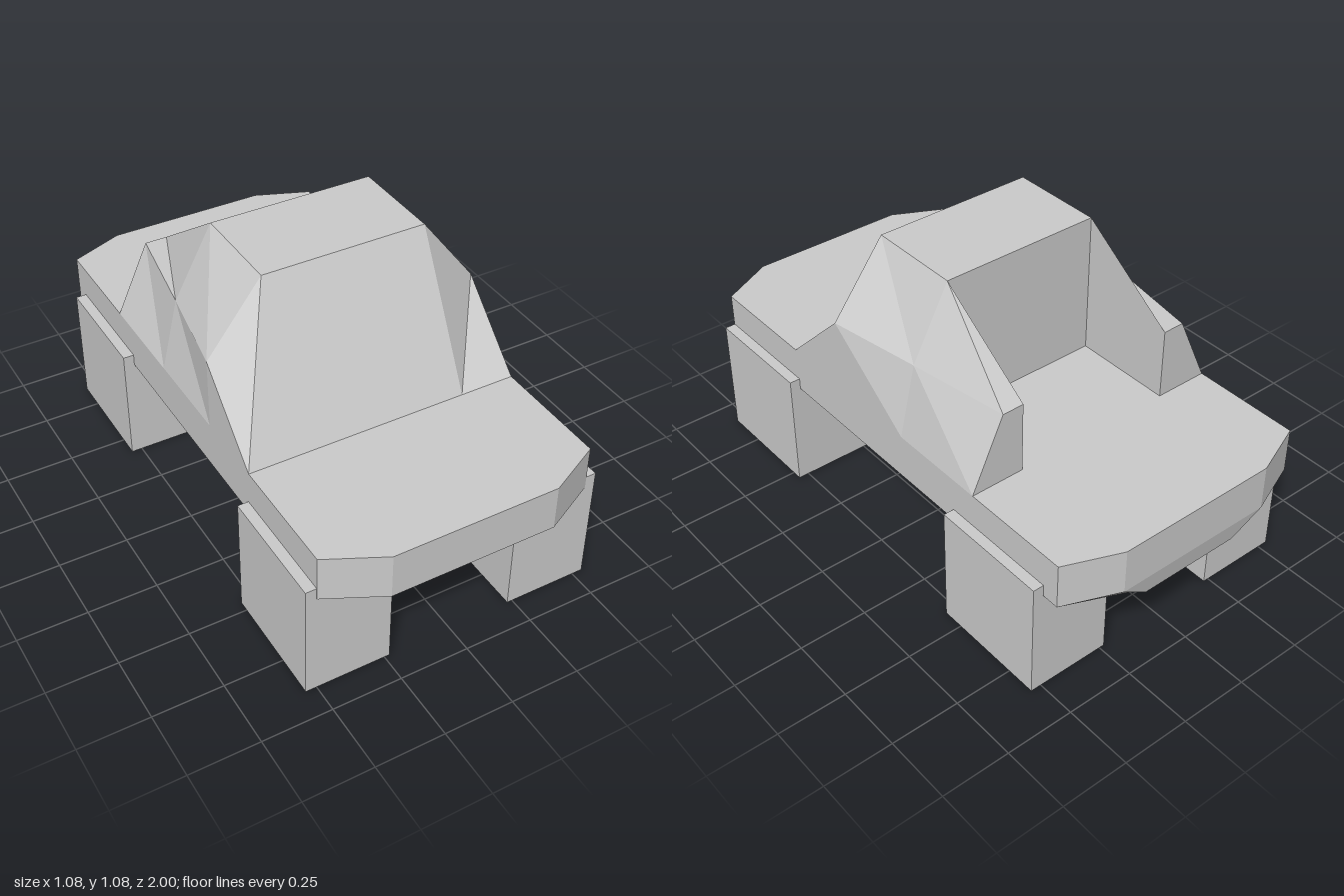
import * as THREE from 'three';

const material = new THREE.MeshStandardMaterial({ color: 0xcccccc, flatShading: true });

// Skin a row of matching rings and cap both ends.
// Rings run counter-clockwise seen from outside the first one.
function loft(rings) {
  const pos = [];
  const tri = (a, b, c) => pos.push(...a, ...b, ...c);
  const n = rings[0].length;
  for (let r = 0; r < rings.length - 1; r++) {
    const a = rings[r], b = rings[r + 1];
    for (let i = 0; i < n; i++) {
      const j = (i + 1) % n;
      tri(a[i], b[i], a[j]);
      tri(a[j], b[i], b[j]);
    }
  }
  const first = rings[0], last = rings[rings.length - 1];
  for (let i = 1; i < n - 1; i++) {
    tri(first[0], first[i], first[i + 1]);
    tri(last[0], last[i + 1], last[i]);
  }
  const geometry = new THREE.BufferGeometry();
  geometry.setAttribute('position', new THREE.Float32BufferAttribute(pos, 3));
  geometry.computeVertexNormals();
  return geometry;
}

// Complete a half outline (x > 0) with its mirror image.
const mirrored = (half) => [...half, ...half.slice().reverse().map(([x, y, z]) => [-x, y, z])];

export function createModel() {
  const model = new THREE.Group();
  const add = (name, geometry, x = 0, y = 0, z = 0) => {
    const mesh = new THREE.Mesh(geometry, material);
    mesh.name = name;
    mesh.position.set(x, y, z);
    model.add(mesh);
  };

  // Deck: a long slab with clipped corners
  const outline = (y) => mirrored([[0.3, y, 1], [0.5, y, 0.9], [0.5, y, -0.92], [0.3, y, -1]]);
  add('deck', loft([outline(0.56), outline(0.395)]));

  // Shallow tapered belly below the deck
  const bellyTop = mirrored([[0.3, 0.395, 0.9], [0.5, 0.395, 0.88], [0.5, 0.395, -0.92], [0.3, 0.395, -1]]);
  const bellyBottom = mirrored([[0.19, 0.313, 0.47], [0.19, 0.313, 0.46], [0.19, 0.313, -0.97], [0.19, 0.313, -0.985]]);
  add('belly', loft([bellyTop, bellyBottom]));

  // Chassis block between the wheels
  add('chassis', new THREE.BoxGeometry(0.375, 0.13, 0.985), 0, 0.265, -0.027);

  // Cabin: windscreen base, front of roof, rear of roof
  const cabinRing = (z, shoulderX, shoulderY, roofY) =>
    mirrored([[0.5, 0.56, z], [shoulderX, shoulderY, z], [0.3, roofY, z]]);
  add('cabin', loft([
    cabinRing(0.47, 0.5, 0.56, 0.56),
    cabinRing(0.2, 0.5, 0.82, 1.08),
    cabinRing(-0.15, 0.44, 0.82, 1.08),
  ]));

  // Sloping side walls of the open rear bed
  const wallRing = (z, shoulderX, topY) =>
    [[0.3, 0.56, z], [0.5, 0.56, z], [shoulderX, 0.82, z], [0.3, topY, z]];
  const wall = [wallRing(-0.15, 0.44, 1.08), wallRing(-0.52, 0.38, 0.82)];
  add('leftBedWall', loft(wall));
  add('rightBedWall', loft(wall.map((ring) => ring.slice().reverse().map(([x, y, z]) => [-x, y, z]))));

  // Four blocky wheels
  for (const [end, z] of [['front', 0.68], ['rear', -0.64]])
    for (const [side, x] of [['Left', 0.385], ['Right', -0.385]])
      add(`${end}${side}Wheel`, new THREE.BoxGeometry(0.308, 0.438, 0.436), x, 0.219, z);

  return model;
}
